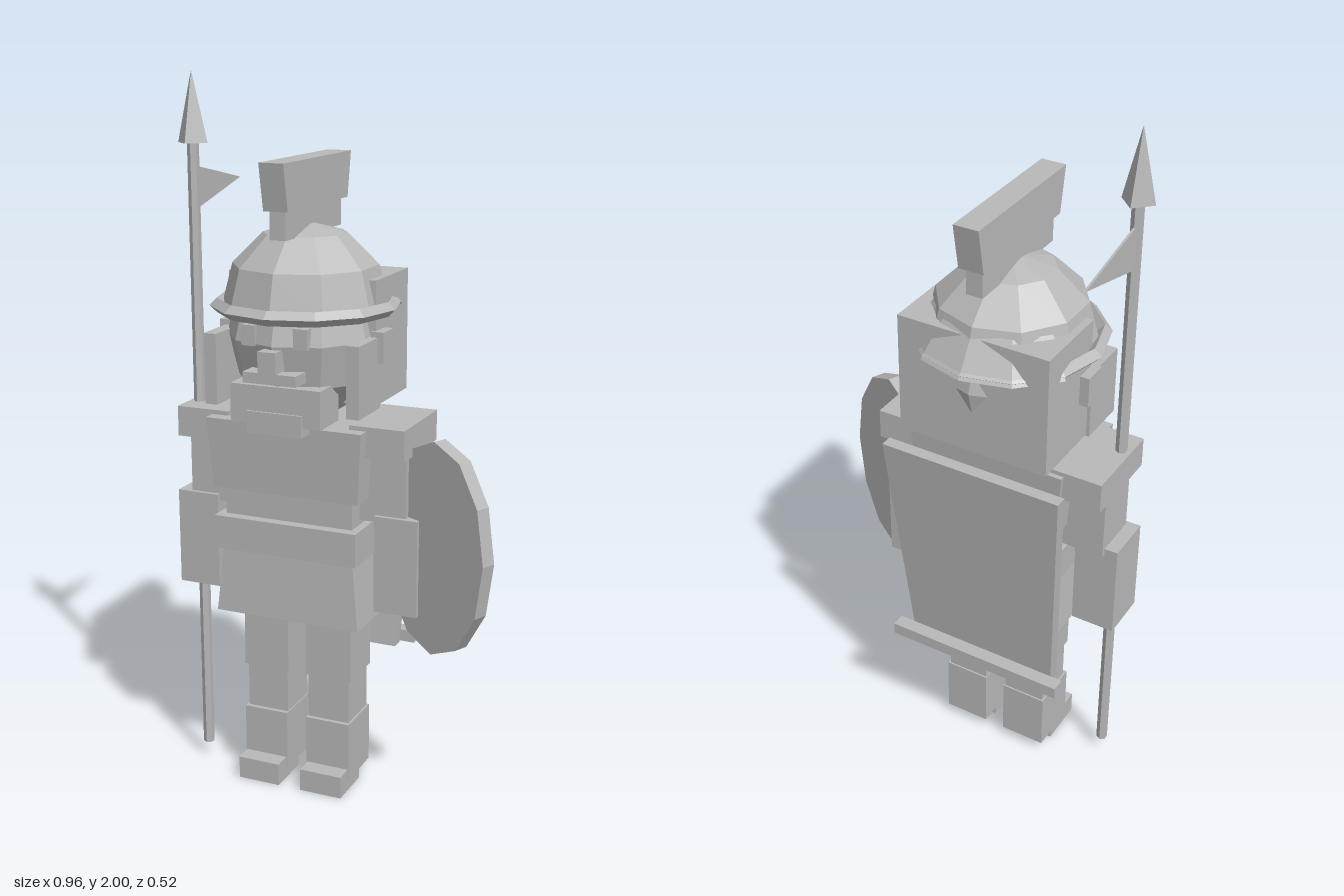
import * as THREE from 'three';

const CX = -0.118; // body centre line

export function createModel() {
  const model = new THREE.Group();
  model.name = 'soldier';
  const grey = new THREE.MeshStandardMaterial({ color: 0xb8b8b8, flatShading: true, side: THREE.DoubleSide });
  grey.name = 'plain grey';

  const add = (name, geometry, x = 0, y = 0, z = 0) => {
    const mesh = new THREE.Mesh(geometry, grey);
    mesh.name = name;
    mesh.position.set(x, y, z);
    model.add(mesh);
    return mesh;
  };
  // Box from its limits; optional scaling of the bottom face in x and z
  const box = (name, x0, x1, y0, y1, z0, z1, bx = 1, bz = 1) => {
    const g = new THREE.BoxGeometry(x1 - x0, y1 - y0, z1 - z0);
    const p = g.attributes.position;
    for (let i = 0; i < p.count; i++) {
      if (p.getY(i) < 0) p.setXYZ(i, p.getX(i) * bx, p.getY(i), p.getZ(i) * bz);
    }
    g.computeVertexNormals();
    return add(name, g, (x0 + x1) / 2, (y0 + y1) / 2, (z0 + z1) / 2);
  };
  // Pair of boxes mirrored about the body centre line, x given as distance from it
  const pair = (name, a, b, ...rest) => {
    box('left' + name, CX + a, CX + b, ...rest);
    box('right' + name, CX - b, CX - a, ...rest);
  };
  const centred = (name, half, ...rest) => box(name, CX - half, CX + half, ...rest);

  // Legs and boots
  pair('Thigh', 0.028, 0.165, 0.335, 0.53, -0.065, 0.077);
  pair('Shin', 0.033, 0.157, 0.19, 0.335, -0.06, 0.072);
  pair('Boot', 0.03, 0.163, 0.032, 0.205, -0.065, 0.085);
  pair('Foot', 0.034, 0.16, 0, 0.065, 0, 0.137);

  // Torso
  centred('chest', 0.229, 0.885, 1.085, -0.137, 0.16, 0.94, 0.92);
  centred('waist', 0.19, 0.69, 0.9, -0.1, 0.125);
  centred('belt', 0.212, 0.71, 0.805, -0.14, 0.155);
  centred('skirt', 0.195, 0.52, 0.71, -0.115, 0.135, 1.1, 1.08);

  // Arms
  pair('ShoulderGuard', 0.18, 0.337, 1.012, 1.097, -0.123, 0.123);
  pair('UpperArm', 0.19, 0.325, 0.82, 1.02, -0.065, 0.075);
  pair('Forearm', 0.238, 0.363, 0.565, 0.84, -0.053, 0.087);

  // Cape, leaning inward toward the hem
  const cape = new THREE.BoxGeometry(0.53, 0.69, 0.035);
  const cp = cape.attributes.position;
  for (let i = 0; i < cp.count; i++) {
    const low = cp.getY(i) < 0;
    cp.setX(i, cp.getX(i) * (low ? 0.85 : 1));
    cp.setZ(i, cp.getZ(i) + (low ? 0.0375 : -0.0375));
  }
  cape.computeVertexNormals();
  add('cape', cape, CX, 0.725, -0.165);
  centred('capeHem', 0.266, 0.38, 0.415, -0.196, -0.156);

  // Head
  const head = new THREE.SphereGeometry(0.215, 10, 6);
  head.rotateY(Math.PI / 2);
  head.scale(1, 1.09, 1);
  add('head', head, CX, 1.31, 0);
  centred('hair', 0.217, 1.13, 1.47, -0.2, 0.03);
  pair('Cheek', 0.19, 0.226, 1.125, 1.32, 0.02, 0.165);
  pair('Ear', 0.208, 0.243, 1.25, 1.335, -0.03, 0.04);
  pair('Eye', 0.055, 0.095, 1.305, 1.36, 0.14, 0.2);
  centred('nose', 0.026, 1.245, 1.302, 0.16, 0.245);
  centred('moustache', 0.077, 1.213, 1.242, 0.14, 0.232);
  centred('beard', 0.131, 1.095, 1.2, 0.08, 0.2);
  centred('beardTip', 0.08, 1.07, 1.13, 0.08, 0.207);

  // Helmet
  const dome = new THREE.SphereGeometry(0.23, 10, 3, 0, Math.PI * 2, 0, Math.PI / 2);
  dome.rotateY(Math.PI / 2);
  add('helmetDome', dome, CX, 1.383, 0);
  const brim = new THREE.TorusGeometry(0.24, 0.02, 4, 12);
  brim.rotateX(Math.PI / 2);
  add('helmetBrim', brim, CX, 1.39, 0);
  add('neckGuard', new THREE.CylinderGeometry(0.2, 0.264, 0.1, 4, 1, true, Math.PI * 2 / 3, Math.PI * 2 / 3), CX, 1.43, 0);
  box('crestHolder', -0.143, -0.097, 1.58, 1.66, -0.19, 0.165);
  box('crest', -0.155, -0.085, 1.655, 1.78, -0.23, 0.2, 1, 0.89);

  // Spear with pennant
  const sx = -0.428, sz = 0.045;
  add('spearShaft', new THREE.CylinderGeometry(0.016, 0.016, 1.77, 6), sx, 0.93, sz);
  add('spearHead', new THREE.ConeGeometry(0.045, 0.19, 4), sx, 1.905, sz);
  const flag = new THREE.Shape([[0, 1.75], [0, 1.63], [0.265, 1.695]].map(([a, b]) => new THREE.Vector2(a, b)));
  const pennant = new THREE.ExtrudeGeometry(flag, { depth: 0.006, bevelEnabled: false });
  pennant.rotateY(Math.PI / 2);
  add('pennant', pennant, sx - 0.003, 0, sz);

  // Oval shield, turned outward
  const shield = new THREE.CylinderGeometry(0.3, 0.3, 0.043, 12);
  shield.rotateX(Math.PI / 2);
  shield.scale(0.61, 1, 1);
  add('shield', shield, 0.3, 0.77, 0.075).rotation.y = -0.426;

  return model;
}
